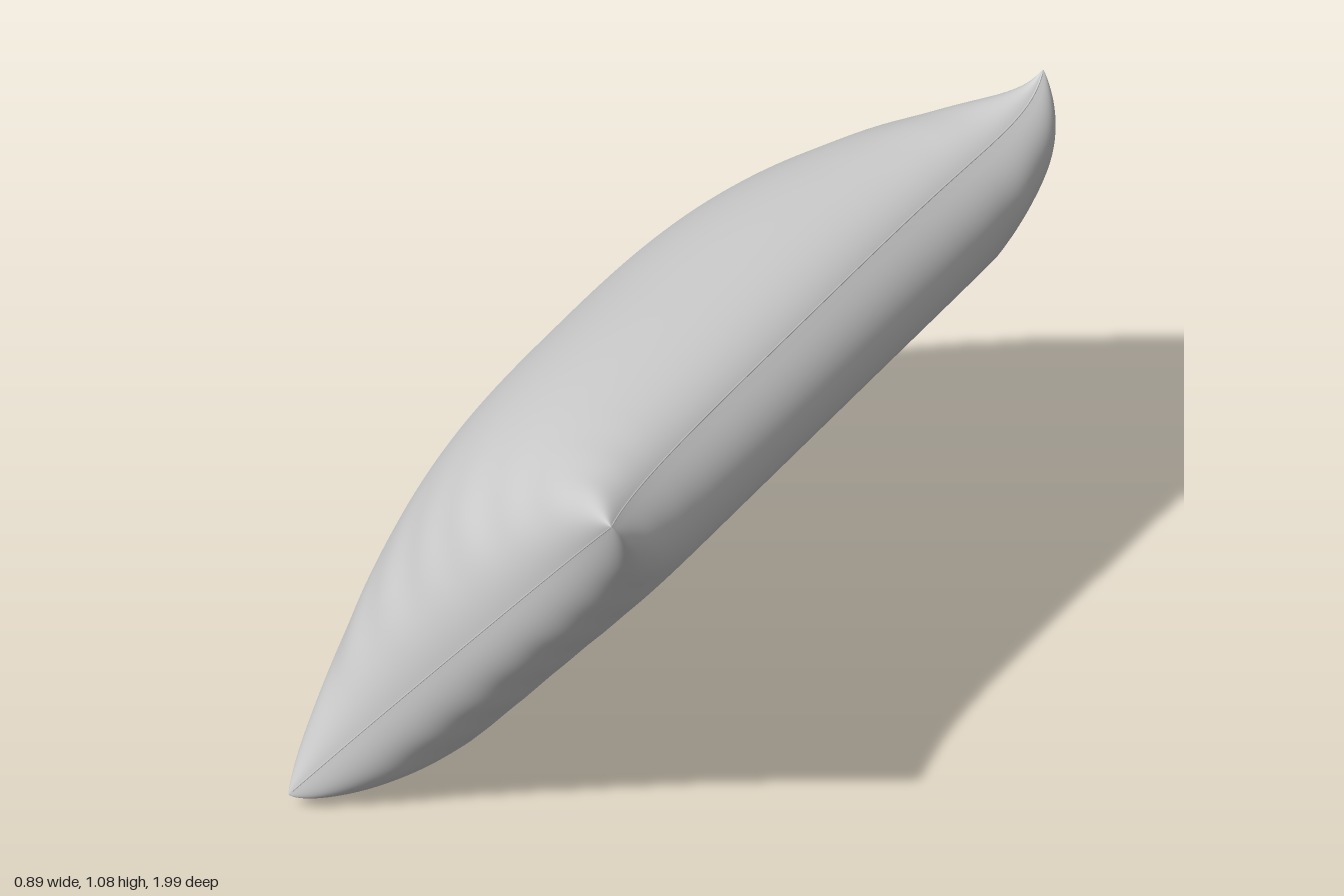
import * as THREE from 'three';

// Pillow leaning along a slope: s runs up the slope, t is its thickness, z its width
const ALONG = new THREE.Vector3(0.635, 0.772, 0);
const OUT = new THREE.Vector3(-0.772, 0.635, 0);
const CENTER = new THREE.Vector3(0.005, 0.545, 0);

// Rounded falloff: 1 in the middle, 0 at the seam
const dome = (x, p, q) => Math.pow(Math.max(0, 1 - Math.pow(Math.abs(x), p)), q);

// Small puckers near the corners and just inside the end seams
function puckers(u, v, sign) {
  const end = v ** 10 * (1 - v ** 8) * (1 - u ** 4);
  const side = u ** 8 * Math.abs(v) ** 5;
  const a = Math.sin(u * 17 + sign) * Math.sin(u * 7 + 2 + v);
  const b = Math.sin(v * 31 + sign * 2) * Math.sin(v * 11 + u);
  return 0.12 * end * a + 0.09 * side * b;
}

// Point on the pillow; side is 1 for the full face, -1 for the flat face, 0 for the seam
function pillowPoint(u, v, side) {
  const au = Math.abs(u), av = Math.abs(v);
  let s = u * (0.655 - 0.105 * (1 - av ** 4.2));
  const z = v * (0.993 - (v > 0 ? 0.08 : 0.025) * (1 - au ** 3));
  let t = 0.025 * au ** 8 * (1 - v ** 4);

  // The full face is fuller along its edges towards the ends
  if (side > 0) t += 0.368 * dome(u, 2, 0.56 - 0.13 * v ** 4) * dome(v, 3, 0.46) * (1 + puckers(u, v, 1));
  if (side < 0) {
    const depth = 0.207 * dome(u, 4.8, 0.33) * dome(v, 7, 0.4) * (1 + puckers(u, v, -1));
    t -= Math.min(depth, 0.183 + (depth - 0.183) * 0.2);
  }

  // Curled upper and stretched lower corner at the back
  const corner = v < 0 ? (au * av) ** 14 : 0;
  if (u > 0) t += 0.06 * corner;
  else {
    s -= 0.025 * corner;
    t -= 0.022 * corner;
  }

  return new THREE.Vector3(0, 0, z).add(CENTER).addScaledVector(ALONG, s).addScaledVector(OUT, t);
}

// One half of the cover, with rows packed closer together near the seam
function coverHalf(name, side, material) {
  const geometry = new THREE.PlaneGeometry(2, 2, 100, 130);
  const pos = geometry.attributes.position;
  for (let i = 0; i < pos.count; i++) {
    const u = Math.sin(pos.getX(i) * Math.PI / 2);
    const v = Math.sin(pos.getY(i) * Math.PI / 2) * -side;
    const p = pillowPoint(u, v, side);
    pos.setXYZ(i, p.x, p.y, p.z);
  }
  geometry.computeVertexNormals();
  const mesh = new THREE.Mesh(geometry, material);
  mesh.name = name;
  return mesh;
}

// Thin stitched edge that follows all four sides
function seamEdge(material) {
  const points = [];
  const corners = [[-1, -1], [1, -1], [1, 1], [-1, 1]];
  corners.forEach(([u0, v0], k) => {
    const [u1, v1] = corners[(k + 1) % 4];
    for (let i = 0; i < 24; i++) {
      const f = (1 - Math.cos(Math.PI * i / 24)) / 2;
      points.push(pillowPoint(u0 + (u1 - u0) * f, v0 + (v1 - v0) * f, 0));
    }
  });
  const curve = new THREE.CatmullRomCurve3(points, true);
  const mesh = new THREE.Mesh(new THREE.TubeGeometry(curve, 320, 0.002, 6, true), material);
  mesh.name = 'seam';
  return mesh;
}

export function createModel() {
  const material = new THREE.MeshStandardMaterial({ color: 0xcccccc, side: THREE.DoubleSide });
  const pillow = new THREE.Group();
  pillow.name = 'pillow';
  pillow.add(
    coverHalf('fullFace', 1, material),
    coverHalf('flatFace', -1, material),
    seamEdge(material)
  );
  return pillow;
}
